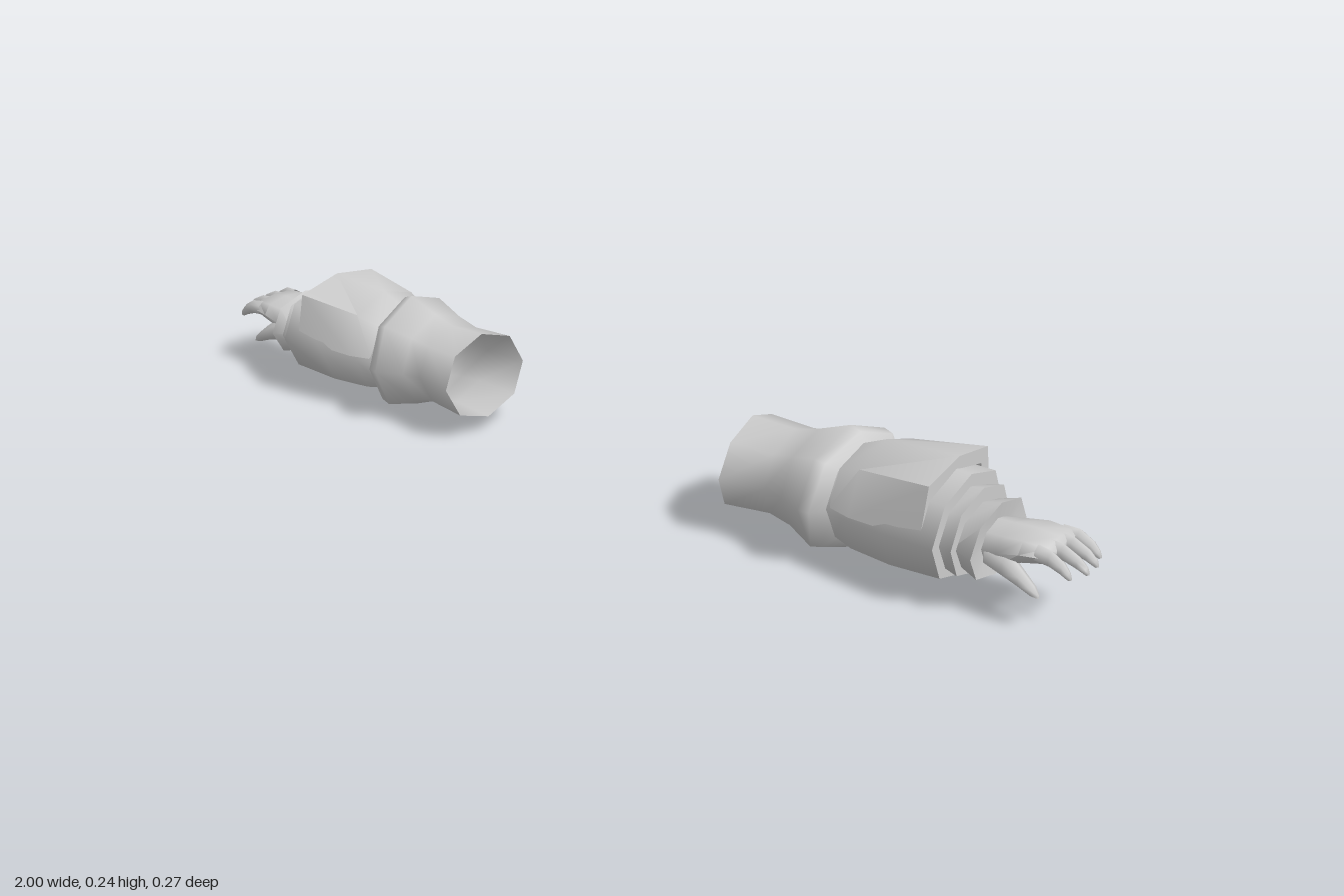
import * as THREE from 'three';
import { toCreasedNormals } from 'three/addons/utils/BufferGeometryUtils.js';

const material = new THREE.MeshStandardMaterial({ color: 0xcccccc, side: THREE.DoubleSide });

// Loft along x. Each ring: [x, y, z, halfHeight, halfDepth, diagonalScale, xShiftPerZ, xShiftPerY].
// An arc below a full turn leaves an open shell centred on the top.
function loft(rings, side, { segments = 8, arc = Math.PI * 2, capEnd = false, crease = 1.0 } = {}) {
  const positions = [], index = [];
  const row = segments + 1;
  rings.forEach(([x, y, z, h, d, diag = 1, shiftZ = 0, shiftY = 0]) => {
    for (let i = 0; i <= segments; i++) {
      const a = (i / segments - 0.5) * arc;
      const k = 1 + (diag - 1) * Math.abs(Math.sin(2 * a));
      const dy = Math.cos(a) * h * k, dz = Math.sin(a) * d * k;
      positions.push(side * (x + shiftZ * dz + shiftY * dy), y + dy, z + dz);
    }
  });
  const face = (a, b, c) => (side > 0 ? index.push(a, b, c) : index.push(a, c, b));
  for (let r = 0; r < rings.length - 1; r++) {
    for (let i = 0; i < segments; i++) {
      const a = r * row + i, b = a + row;
      face(a, b, a + 1);
      face(a + 1, b, b + 1);
    }
  }
  if (capEnd) {
    const [x, y, z] = rings[rings.length - 1];
    const centre = positions.length / 3, start = (rings.length - 1) * row;
    positions.push(side * x, y, z);
    for (let i = 0; i < segments; i++) face(start + i, centre, start + i + 1);
  }
  const geometry = new THREE.BufferGeometry();
  geometry.setAttribute('position', new THREE.Float32BufferAttribute(positions, 3));
  geometry.setIndex(index);
  return toCreasedNormals(geometry, crease);
}

function createArm(side) {
  const arm = new THREE.Group();
  arm.name = side > 0 ? 'leftArm' : 'rightArm';
  const add = (name, rings, options) => {
    const mesh = new THREE.Mesh(loft(rings, side, options), material);
    mesh.name = name;
    arm.add(mesh);
  };

  // Upper sleeve, open at the shoulder and flaring to the elbow
  add('upperSleeve', [
    [0.32, 0.123, 0.01, 0.088, 0.107, 1, 0.08, 0.07],
    [0.41, 0.123, 0.003, 0.083, 0.098, 1, 0.04, 0.04],
    [0.46, 0.123, 0, 0.095, 0.107, 1, -0.05],
    [0.525, 0.123, -0.001, 0.12, 0.134, 1, -0.14],
    [0.545, 0.123, -0.001, 0.113, 0.13, 1, -0.14],
    [0.565, 0.123, 0, 0.08, 0.09, 1, -0.1],
  ], { crease: 1.1 });

  // Forearm sleeve, with its end drawn in to the cuff
  add('forearmSleeve', [
    [0.55, 0.125, 0.005, 0.088, 0.098, 1, -0.06],
    [0.59, 0.122, 0.005, 0.098, 0.106, 1, -0.06],
    [0.67, 0.125, 0.006, 0.1, 0.118, 1.02],
    [0.77, 0.13, 0.01, 0.094, 0.122, 1.02],
    [0.77, 0.125, 0.012, 0.055, 0.08],
  ]);

  // Raised plate over the top of the forearm
  add('forearmPlate', [
    [0.555, 0.13, 0.003, 0.088, 0.098, 1.02, -0.06],
    [0.6, 0.13, 0.003, 0.108, 0.112, 1.05, -0.03],
    [0.74, 0.133, 0, 0.112, 0.122, 1.18],
    [0.74, 0.133, 0, 0.088, 0.105, 1.1],
  ], { segments: 4, arc: Math.PI });

  // Two stepped cuffs
  add('innerCuff', [
    [0.765, 0.127, 0.011, 0.073, 0.097],
    [0.795, 0.127, 0.011, 0.079, 0.103, 1.02],
    [0.795, 0.125, 0.011, 0.05, 0.075],
  ]);
  add('outerCuff', [
    [0.785, 0.122, 0.011, 0.055, 0.08],
    [0.83, 0.122, 0.011, 0.067, 0.1, 1.02],
    [0.825, 0.12, 0.011, 0.035, 0.05],
  ]);

  // Palm
  add('palm', [
    [0.81, 0.12, 0.012, 0.038, 0.05],
    [0.855, 0.125, 0.012, 0.036, 0.058, 1.05],
    [0.895, 0.136, 0.008, 0.026, 0.063, 1.08],
    [0.935, 0.138, 0.004, 0.018, 0.059, 1.1],
    [0.945, 0.137, 0.004, 0.011, 0.053, 1.1],
  ], { capEnd: true, crease: 1.3 });

  // Four fingers curling down at the tips
  [[0.055, 0.985], [0.021, 1], [-0.014, 1], [-0.046, 0.99]].forEach(([z, tip], i) => {
    const length = tip - 0.92;
    add('finger' + (i + 1), [
      [0.92, 0.14, z * 0.92, 0.016, 0.015],
      [0.92 + length * 0.4, 0.139, z, 0.015, 0.0125],
      [0.92 + length * 0.75, 0.128, z, 0.012, 0.0105],
      [tip - 0.005, 0.118, z, 0.008, 0.007],
      [tip, 0.114, z, 0.002, 0.002],
    ], { segments: 6, capEnd: true, crease: 1.6 });
  });

  // Thumb pointing forward and down
  add('thumb', [
    [0.83, 0.112, 0.045, 0.026, 0.022],
    [0.87, 0.105, 0.056, 0.024, 0.022],
    [0.9, 0.091, 0.062, 0.016, 0.016],
    [0.925, 0.076, 0.064, 0.01, 0.011],
    [0.935, 0.068, 0.064, 0.003, 0.004],
  ], { segments: 6, capEnd: true, crease: 1.6 });

  return arm;
}

export function createModel() {
  const model = new THREE.Group();
  model.name = 'sleevedArms';
  model.add(createArm(1), createArm(-1));
  return model;
}
